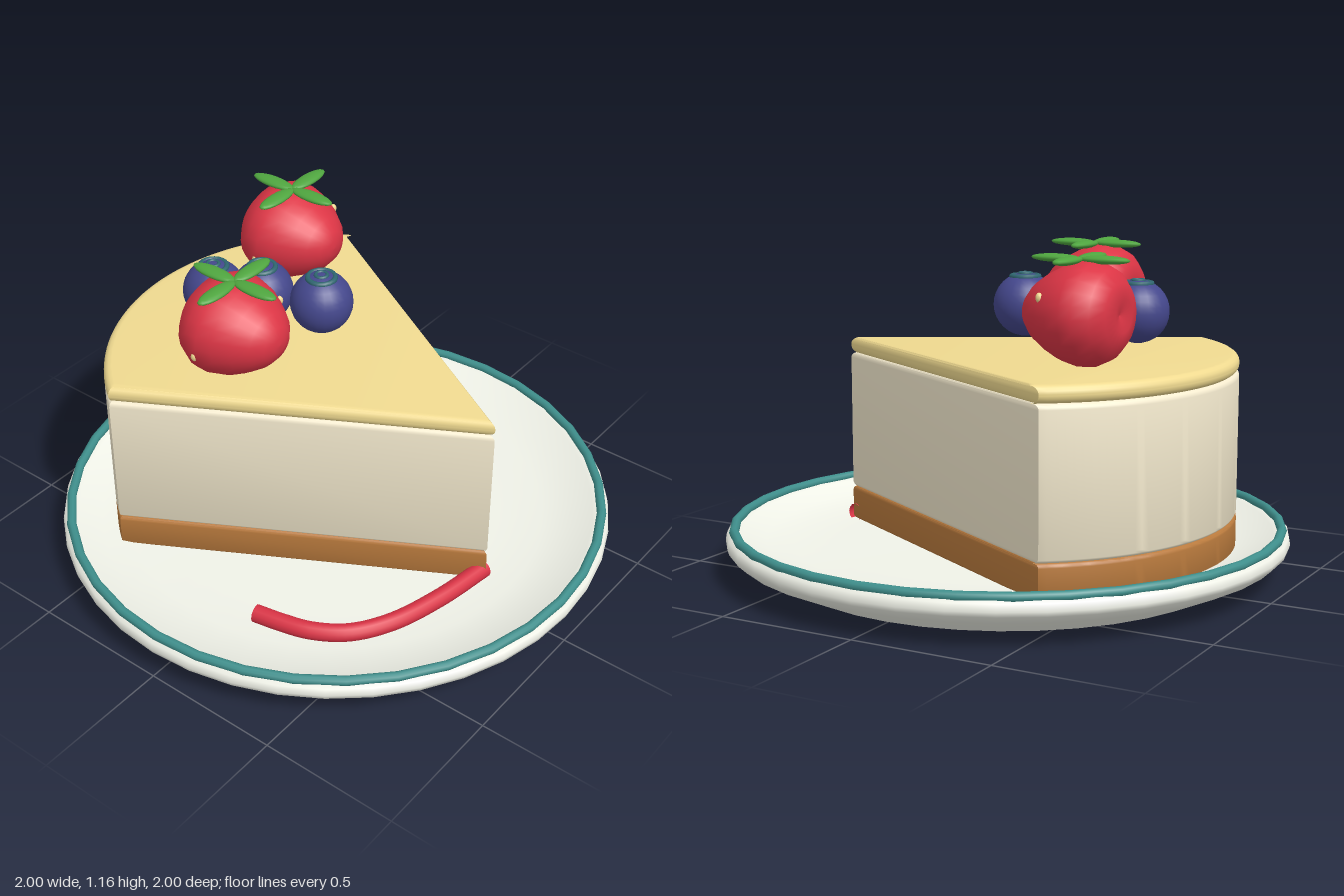
import * as THREE from 'three';
import { toCreasedNormals } from 'three/addons/utils/BufferGeometryUtils.js';

const mat = (color, side = THREE.FrontSide) => new THREE.MeshStandardMaterial({ color, side });
const COLORS = {
  plate: mat(0xf0f2e8, THREE.DoubleSide),
  rim: mat(0x3f8f8c),
  crust: mat(0xb97a3d),
  filling: mat(0xf5ebcf),
  glaze: mat(0xf0da90),
  red: mat(0xdc3545),
  sauce: mat(0xd93345, THREE.DoubleSide),
  leaf: mat(0x4fa53f),
  seed: mat(0xf0d890),
  blue: mat(0x44478c),
  crown: mat(0x2f6670),
};

function add(parent, name, geometry, material, x = 0, y = 0, z = 0) {
  const mesh = new THREE.Mesh(geometry, material);
  mesh.name = name;
  mesh.position.set(x, y, z);
  parent.add(mesh);
  return mesh;
}

const lathe = (pts, segments) =>
  new THREE.LatheGeometry(pts.map(([r, y]) => new THREE.Vector2(r, y)), segments);

// One layer of the slice: a wedge with a curved back and rounded edges
function wedge(bottom, top, bevel) {
  const shape = new THREE.Shape();
  const angle = Math.atan2(0.45, 0.65);
  shape.moveTo(0, -0.665);
  shape.lineTo(0.65, 0.47);
  shape.absarc(0, 0.02, 0.79, angle, Math.PI - angle, false);
  shape.closePath();
  const geometry = new THREE.ExtrudeGeometry(shape, {
    depth: top - bottom - 2 * bevel,
    bevelThickness: bevel,
    bevelSize: bevel,
    bevelOffset: -bevel,
    bevelSegments: 4,
    curveSegments: 28,
  });
  geometry.rotateX(-Math.PI / 2);
  geometry.translate(0, bottom + bevel, 0);
  return toCreasedNormals(geometry, 0.6);
}

// Strawberry lying with its tip forward, a leaf cross on top
function strawberry(name, x, y, z) {
  const group = new THREE.Group();
  group.name = name;
  group.position.set(x, y, z);
  const body = lathe([
    [0, -0.14], [0.06, -0.158], [0.115, -0.147], [0.16, -0.112], [0.186, -0.06], [0.187, -0.015],
    [0.172, 0.04], [0.142, 0.095], [0.105, 0.145], [0.065, 0.177], [0.03, 0.189], [0, 0.191],
  ], 24);
  body.rotateX(Math.PI / 2);
  body.scale(1.02, 0.92, 1);
  add(group, 'strawberryBody', body, COLORS.red);
  for (let i = 0; i < 4; i++) {
    const leaf = new THREE.SphereGeometry(1, 16, 10);
    leaf.scale(0.09, 0.014, 0.03);
    leaf.translate(0.088, 0, 0);
    add(group, 'leaf', leaf, COLORS.leaf, 0, 0.176, 0).rotation.y = (i * Math.PI) / 2;
  }
  const seeds = [[0.14, 0.06, 0.075], [-0.045, -0.075, -0.135], [-0.18, -0.04, -0.03]];
  for (const [sx, sy, sz] of seeds) {
    const seed = add(group, 'seed', new THREE.SphereGeometry(0.012, 8, 6), COLORS.seed, sx, sy, sz);
    seed.scale.y = 1.4;
  }
  return group;
}

// Blueberry with a ringed crown
function blueberry(x, y, z) {
  const group = new THREE.Group();
  group.name = 'blueberry';
  group.position.set(x, y, z);
  add(group, 'blueberryBody', new THREE.SphereGeometry(0.11, 24, 16), COLORS.blue);
  const ring = (radius, tube, height) =>
    add(group, 'crownRing', new THREE.TorusGeometry(radius, tube, 8, 20).rotateX(Math.PI / 2),
      COLORS.crown, 0, height, 0);
  ring(0.047, 0.01, 0.096);
  ring(0.02, 0.007, 0.106);
  return group;
}

export function createModel() {
  const model = new THREE.Group();
  model.name = 'cakeSliceOnPlate';

  // Shallow plate with a coloured rim
  add(model, 'plate', lathe([
    [0, 0], [0.4, 0], [0.78, 0], [0.8, 0.004], [0.965, 0.08], [0.995, 0.108], [1, 0.125], [0.995, 0.15],
    [0.97, 0.165], [0.94, 0.152], [0.86, 0.122], [0.76, 0.102], [0.6, 0.095], [0, 0.095],
  ], 40), COLORS.plate);
  add(model, 'plateRim',
    new THREE.TorusGeometry(0.97, 0.017, 10, 36).rotateX(Math.PI / 2), COLORS.rim, 0, 0.165, 0);

  // Cake layers
  add(model, 'crust', wedge(0.095, 0.22, 0.015), COLORS.crust);
  add(model, 'filling', wedge(0.218, 0.727, 0.02), COLORS.filling);
  add(model, 'glaze', wedge(0.724, 0.784, 0.028), COLORS.glaze);

  // Sauce drizzle on the plate
  const path = new THREE.CatmullRomCurve3([
    [0.02, 0.645], [-0.2, 0.61], [-0.4, 0.55], [-0.53, 0.465], [-0.6, 0.36], [-0.63, 0.26], [-0.65, 0.16],
  ].map(([x, z]) => new THREE.Vector3(x, 0.122, z)));
  add(model, 'sauce', new THREE.TubeGeometry(path, 40, 0.032, 12), COLORS.sauce);
  const end = add(model, 'sauceEnd', new THREE.CircleGeometry(0.032, 12), COLORS.sauce);
  end.position.copy(path.getPoint(1));
  end.lookAt(path.getPoint(1).add(path.getTangent(1)));

  // Fruit topping
  model.add(strawberry('leftStrawberry', 0.295, 0.968, -0.43));
  model.add(strawberry('rightStrawberry', -0.295, 0.968, -0.195));
  for (const [x, y, z] of [[0.02, 0.95, -0.08], [0, 0.905, -0.33], [-0.13, 0.93, -0.44]]) {
    model.add(blueberry(x, y, z));
  }
  return model;
}
